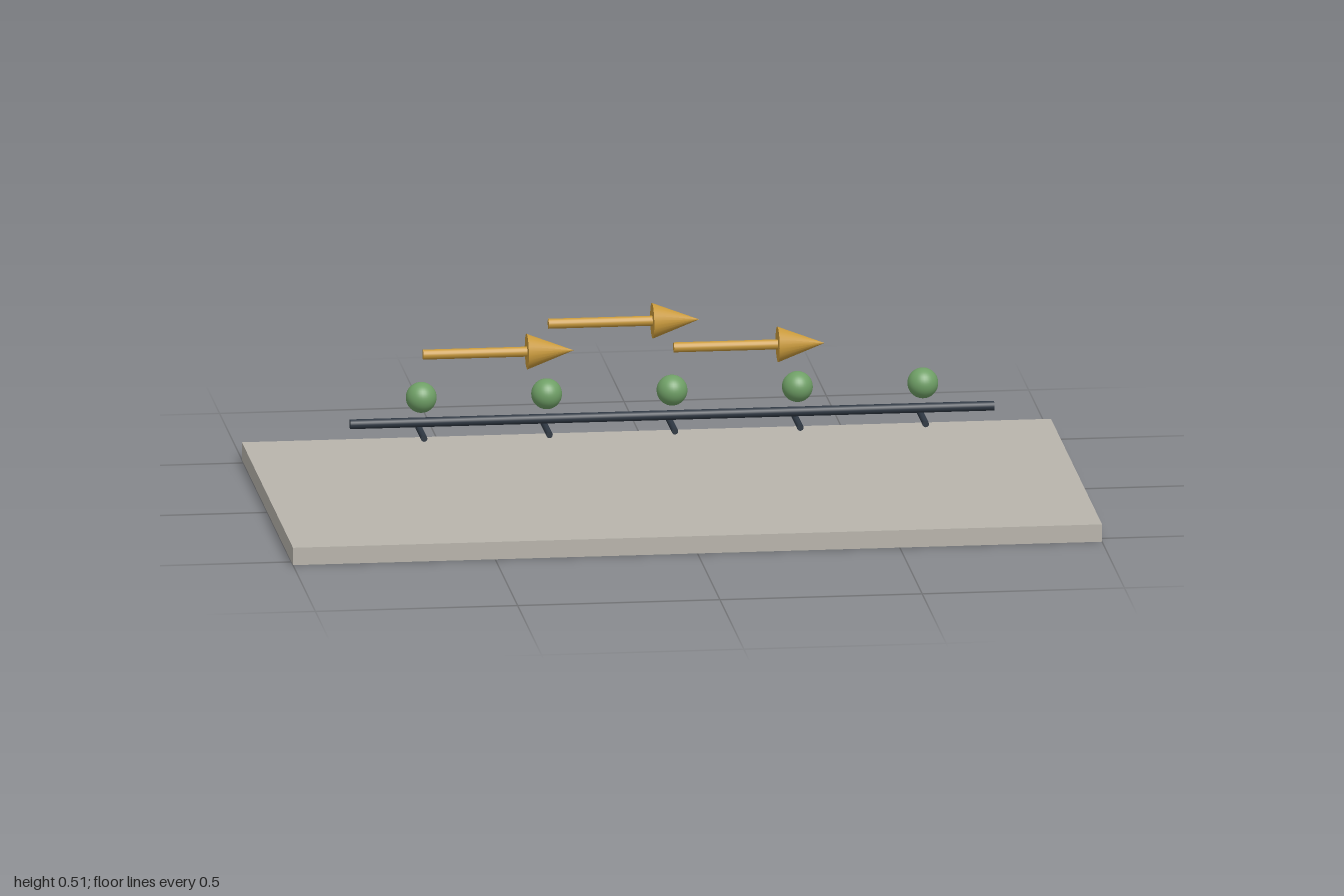
import * as THREE from 'three';

const material = (name, color) => {
  const m = new THREE.MeshStandardMaterial({ color });
  m.name = name;
  return m;
};

export function createModel() {
  const stone = material('warm grey', 0xb8b4ac);
  const steel = material('dark slate', 0x2f3843);
  const green = material('leaf green', 0x6f9f66);
  const gold = material('gold', 0xc99a3c);

  const model = new THREE.Group();
  model.name = 'numberLineWithArrows';

  const add = (parent, name, geometry, mat, x, y, z) => {
    const mesh = new THREE.Mesh(geometry, mat);
    mesh.name = name;
    mesh.position.set(x, y, z);
    parent.add(mesh);
    return mesh;
  };

  // Ground slab
  add(model, 'base', new THREE.BoxGeometry(2, 0.044, 1.066), stone, 0, 0.022, 0);

  // Long horizontal rod
  const rod = new THREE.CylinderGeometry(0.012, 0.012, 1.592, 20).rotateZ(-Math.PI / 2);
  add(model, 'rod', rod, steel, 0, 0.217, 0);

  // Evenly spaced cross bars below the rod, with a ball floating above each
  const step = 0.31;
  const bar = new THREE.CylinderGeometry(0.008, 0.008, 0.124, 16).rotateX(Math.PI / 2);
  const ball = new THREE.SphereGeometry(0.038, 32, 20);
  for (let i = -2; i <= 2; i++) {
    add(model, 'crossBar', bar, steel, i * step, 0.191, 0);
    add(model, 'ball', ball, green, i * step, 0.28, 0);
  }

  // Arrows pointing along +x, each starting above a ball
  const shaftLength = 0.257, headLength = 0.116;
  const shaft = new THREE.CylinderGeometry(0.0125, 0.0125, shaftLength, 16).rotateZ(-Math.PI / 2);
  const head = new THREE.ConeGeometry(0.044, headLength, 24).rotateZ(-Math.PI / 2);
  for (const [start, y] of [[-2, 0.397], [-1, 0.466], [0, 0.397]]) {
    const arrow = new THREE.Group();
    arrow.name = 'arrow';
    arrow.position.set(start * step, y, 0.035);
    add(arrow, 'arrowShaft', shaft, gold, shaftLength / 2, 0, 0);
    add(arrow, 'arrowHead', head, gold, shaftLength + headLength / 2, 0, 0);
    model.add(arrow);
  }

  return model;
}
